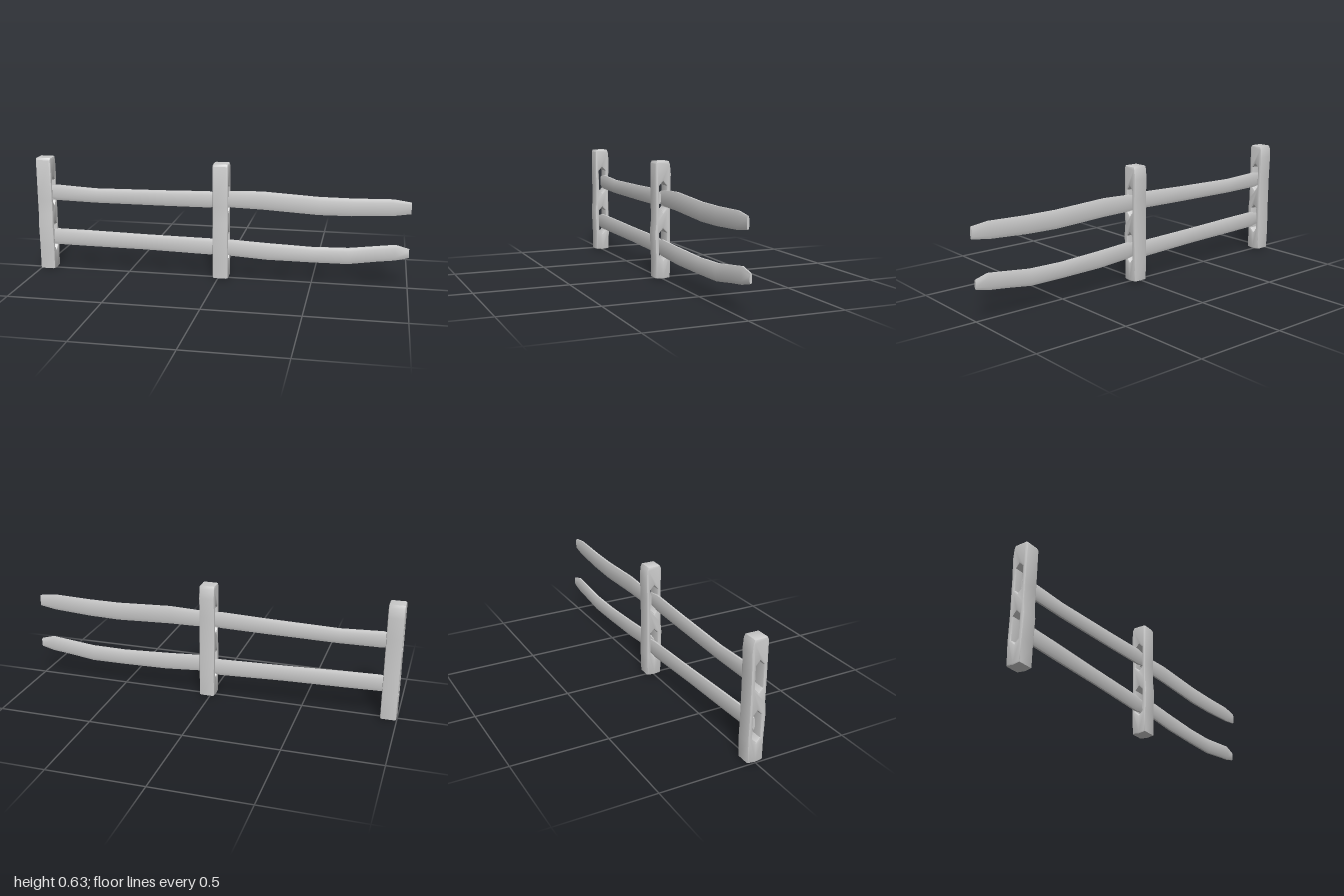
import * as THREE from 'three';
import { toCreasedNormals } from 'three/addons/utils/BufferGeometryUtils.js';

const material = new THREE.MeshStandardMaterial({ color: 0xcccccc });

// Post: slightly wavy side profile with two pointed slots, extruded along x
function makePostGeometry() {
  const width = 0.083, bevel = 0.008;
  const outline = [
    [-0.04, 0.005], [0, 0], [0.04, 0.005], [0.044, 0.12], [0.041, 0.25], [0.042, 0.45],
    [0.046, 0.56], [0.041, 0.61], [0.034, 0.627], [-0.034, 0.627], [-0.041, 0.615],
    [-0.041, 0.4], [-0.04, 0.31], [-0.046, 0.25], [-0.041, 0.12],
  ];
  const toPoints = (list) => list.map(([x, y]) => new THREE.Vector2(x, y));
  const shape = new THREE.Shape(toPoints(outline));
  for (const [low, high] of [[0.105, 0.27], [0.36, 0.52]]) {
    shape.holes.push(new THREE.Path(toPoints([
      [0, low], [-0.02, low + 0.022], [-0.02, high - 0.022],
      [0, high], [0.02, high - 0.022], [0.02, low + 0.022],
    ])));
  }
  const geometry = new THREE.ExtrudeGeometry(shape, {
    depth: width - 2 * bevel, bevelEnabled: true, bevelThickness: bevel,
    bevelSize: bevel, bevelOffset: -bevel, bevelSegments: 2,
  });
  geometry.translate(0, 0, bevel - width / 2);
  geometry.rotateY(Math.PI / 2);
  return toCreasedNormals(geometry, 0.6);
}

// Rail: eight-sided loops through stations [x, bottom, top, half thickness],
// running at a slant from z0 to z1
const SECTION = [[1, 0.45], [0.6, 1], [-0.6, 1], [-1, 0.45], [-1, -0.45], [-0.6, -1], [0.6, -1], [1, -0.45]];

function makeRailGeometry(stations, z0, z1) {
  const n = SECTION.length, last = stations.length - 1;
  const start = stations[0][0], length = stations[last][0] - start;
  const positions = [], index = [];
  stations.forEach(([x, low, high, half]) => {
    const z = THREE.MathUtils.lerp(z0, z1, (x - start) / length);
    for (const [u, v] of SECTION) positions.push(x, (low + high) / 2 + u * (high - low) / 2, z + v * half);
  });
  for (let i = 0; i < last; i++) {
    for (let j = 0; j < n; j++) {
      const a = i * n + j, b = i * n + (j + 1) % n;
      index.push(a, b, a + n, b, b + n, a + n);
    }
  }
  // End caps
  for (let j = 1; j < n - 1; j++) {
    index.push(0, j + 1, j, last * n, last * n + j, last * n + j + 1);
  }
  const geometry = new THREE.BufferGeometry();
  geometry.setAttribute('position', new THREE.Float32BufferAttribute(positions, 3));
  geometry.setIndex(index);
  return toCreasedNormals(geometry, 1.0);
}

export function createModel() {
  const group = new THREE.Group();
  const add = (name, geometry, x = 0) => {
    const mesh = new THREE.Mesh(geometry, material);
    mesh.name = name;
    mesh.position.x = x;
    group.add(mesh);
  };

  // Posts
  const post = makePostGeometry();
  add('endPost', post, -0.957);
  add('middlePost', post, 0.015);

  // Rails: tapered tips overlap side by side inside the slots
  add('upperRailA', makeRailGeometry([
    [-0.96, 0.4, 0.46, 0.006], [-0.9, 0.387, 0.472, 0.011], [-0.68, 0.383, 0.461, 0.012],
    [-0.3, 0.385, 0.468, 0.011], [-0.05, 0.388, 0.475, 0.011], [0.03, 0.4, 0.462, 0.006],
  ], -0.009, 0.009));
  add('upperRailB', makeRailGeometry([
    [0, 0.4, 0.465, 0.006], [0.07, 0.39, 0.478, 0.011], [0.23, 0.387, 0.483, 0.011],
    [0.53, 0.373, 0.468, 0.012], [0.7, 0.376, 0.468, 0.012], [0.91, 0.388, 0.474, 0.01],
    [1, 0.402, 0.462, 0.006],
  ], -0.009, 0.009));
  add('lowerRailA', makeRailGeometry([
    [-0.96, 0.152, 0.212, 0.006], [-0.9, 0.14, 0.228, 0.011], [-0.72, 0.137, 0.225, 0.012],
    [-0.4, 0.133, 0.217, 0.011], [-0.05, 0.123, 0.211, 0.011], [0.03, 0.135, 0.2, 0.006],
  ], 0.009, -0.009));
  add('lowerRailB', makeRailGeometry([
    [0, 0.14, 0.205, 0.006], [0.07, 0.127, 0.215, 0.011], [0.26, 0.115, 0.205, 0.011],
    [0.5, 0.113, 0.196, 0.012], [0.69, 0.114, 0.2, 0.012], [0.83, 0.134, 0.217, 0.011],
    [0.93, 0.146, 0.229, 0.01], [1, 0.163, 0.21, 0.006],
  ], 0.009, -0.009));

  return group;
}
